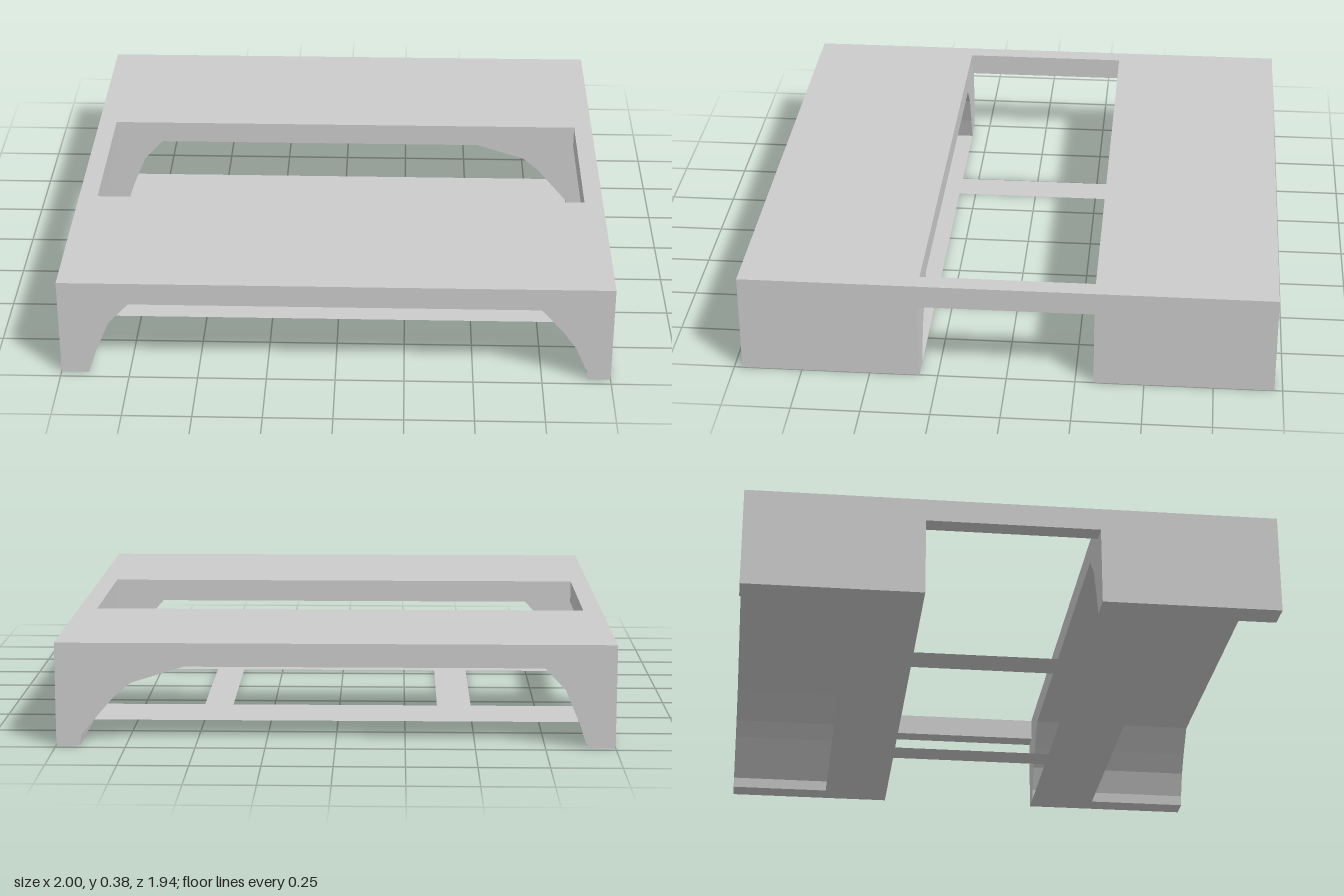
import * as THREE from 'three';

export function createModel() {
  const group = new THREE.Group();
  const material = new THREE.MeshStandardMaterial({ color: 0xcccccc, flatShading: true });
  const sheetMaterial = new THREE.MeshStandardMaterial({ color: 0xcccccc, side: THREE.DoubleSide });
  const height = 0.375, underside = 0.29, inner = 0.317, outer = 0.97;

  function add(name, geometry, x = 0, y = 0, z = 0, mat = material) {
    const mesh = new THREE.Mesh(geometry, mat);
    mesh.name = name;
    mesh.position.set(x, y, z);
    group.add(mesh);
  }

  // Deck with two legs, cut from one outline by an arch
  function archedDeck(name, leftCurve, z) {
    const rightCurve = [[-0.745, underside], [-0.82, 0.21], [-0.87, 0.09], [-0.9, 0]];
    const outline = [[-1, 0], [-1, height], [1, height], [1, 0], ...leftCurve, ...rightCurve];
    const shape = new THREE.Shape(outline.map(([x, y]) => new THREE.Vector2(x, y)));
    add(name, new THREE.ExtrudeGeometry(shape, { depth: outer - inner, bevelEnabled: false }), 0, 0, z);
  }
  archedDeck('frontDeck', [[0.915, 0], [0.91, 0.04], [0.87, 0.13], [0.82, 0.2], [0.74, underside]], inner);
  archedDeck('backDeck', [[0.915, 0], [0.91, 0.04], [0.79, 0.18], [0.73, 0.23], [0.54, underside]], -outer);

  // Side rails joining the decks, and flat ground strips below them
  for (const side of [1, -1]) {
    add(side > 0 ? 'leftRail' : 'rightRail',
      new THREE.BoxGeometry(0.07, height - underside, 2 * inner),
      side * 0.965, (height + underside) / 2, 0);
    add(side > 0 ? 'frontGroundStrip' : 'backGroundStrip',
      new THREE.PlaneGeometry(1.815, 0.26).rotateX(Math.PI / 2),
      0.0075, 0, side * (inner + 0.13), sheetMaterial);
  }

  // Flat cross bars between the ground strips
  for (const [name, x0, x1] of [['leftCrossBar', 0.41, 0.52], ['rightCrossBar', -0.505, -0.375]]) {
    add(name, new THREE.PlaneGeometry(x1 - x0, 2 * inner).rotateX(Math.PI / 2),
      (x0 + x1) / 2, 0, 0, sheetMaterial);
  }
  return group;
}
